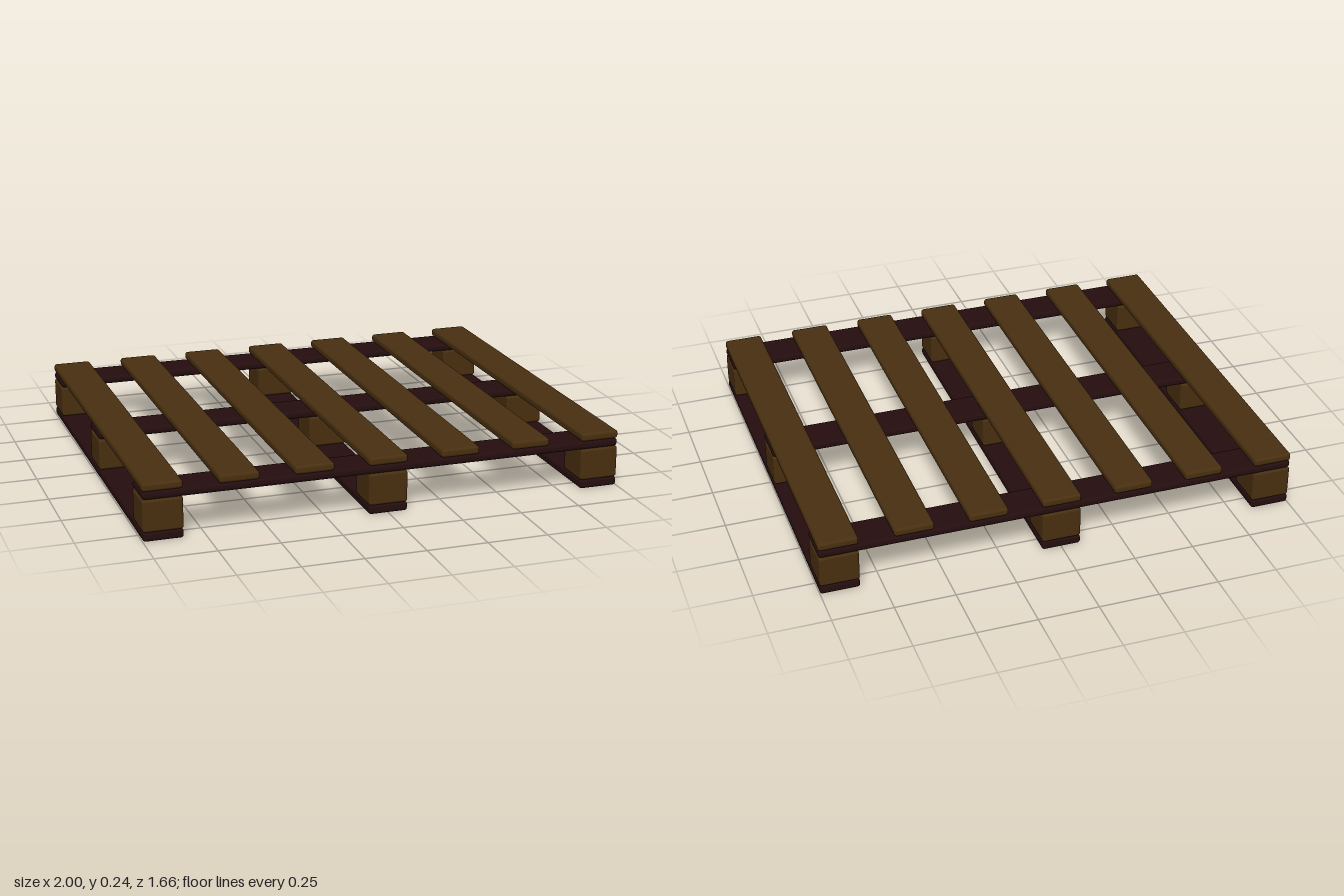
import * as THREE from 'three';
import { RoundedBoxGeometry } from 'three/addons/geometries/RoundedBoxGeometry.js';

export function createModel() {
  const pallet = new THREE.Group();
  pallet.name = 'pallet';

  const lightWood = new THREE.MeshStandardMaterial({ color: 0x482f10 });
  lightWood.name = 'lightWood';
  const darkWood = new THREE.MeshStandardMaterial({ color: 0x240d0e });
  darkWood.name = 'darkWood';

  const width = 0.163;           // every board and block is this wide
  const length = 1.664;          // front to back
  const edgeX = 1 - width / 2;   // centre of the outermost boards
  const edgeZ = length / 2 - width / 2;

  const board = (name, w, h, d, radius, material) => {
    const geometry = new RoundedBoxGeometry(w, h, d, 2, radius);
    return (x, y, z) => {
      const mesh = new THREE.Mesh(geometry, material);
      mesh.name = name;
      mesh.position.set(x, y, z);
      pallet.add(mesh);
    };
  };

  const addSlat = board('topSlat', width, 0.035, length, 0.012, lightWood);
  const addCross = board('crossBoard', 2, 0.035, width, 0.015, darkWood);
  const addBlock = board('spacerBlock', width, 0.133, width, 0.011, lightWood);
  const addRunner = board('bottomRunner', width, 0.037, length, 0.012, darkWood);

  // Seven deck slats running front to back
  for (let i = -3; i <= 3; i++) addSlat((i / 3) * edgeX, 0.2205, 0);

  // Three cross boards, three runners and a 3 x 3 grid of blocks
  for (let i = -1; i <= 1; i++) {
    addCross(0, 0.1865, i * edgeZ);
    addRunner(i * edgeX, 0.0185, 0);
    for (let j = -1; j <= 1; j++) addBlock(i * edgeX, 0.1035, j * edgeZ);
  }

  return pallet;
}
